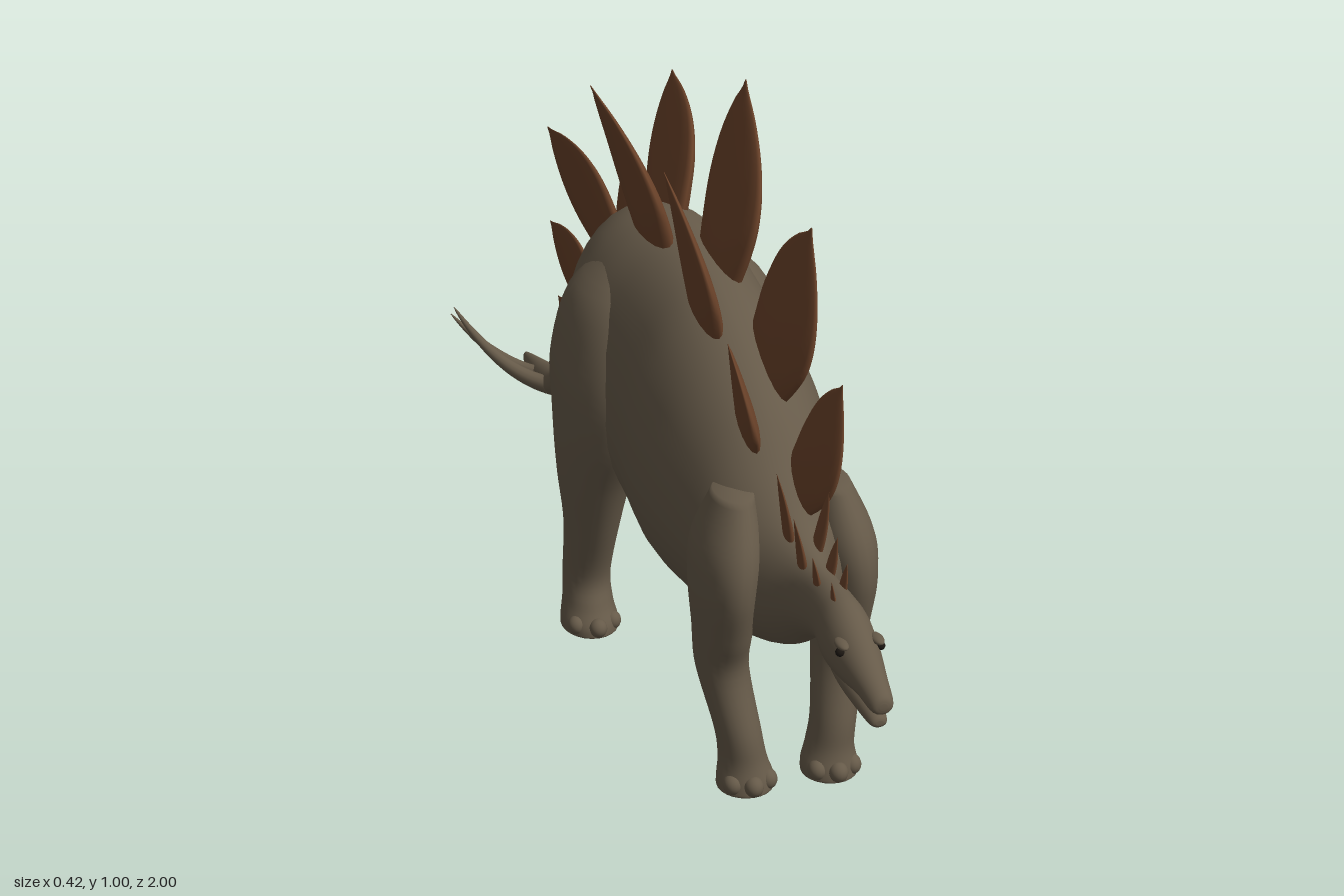
import * as THREE from 'three';

const skin = new THREE.MeshStandardMaterial({ color: 0x665a49 });
skin.name = 'grey brown skin';
const plateBrown = new THREE.MeshStandardMaterial({ color: 0x6a4229 });
plateBrown.name = 'rust brown plate';
const eyeDark = new THREE.MeshStandardMaterial({ color: 0x1c1712 });
eyeDark.name = 'dark eye';

const V = (x, y, z) => new THREE.Vector3(x, y, z);

// Skin a list of equal-length rings into a closed surface
function loft(rings) {
  const n = rings[0].length, m = rings.length, pos = [], idx = [];
  rings.forEach(r => r.forEach(p => pos.push(p.x, p.y, p.z)));
  for (let i = 0; i < m - 1; i++) for (let j = 0; j < n; j++) {
    const a = i * n + j, b = i * n + (j + 1) % n;
    idx.push(a, b, a + n, b, b + n, a + n);
  }
  [rings[0], rings[m - 1]].forEach((r, e) => {
    const c = r.reduce((s, p) => s.add(p), V(0, 0, 0)).divideScalar(n);
    pos.push(c.x, c.y, c.z);
    const k = m * n + e, o = e * (m - 1) * n;
    for (let j = 0; j < n; j++) {
      const a = o + j, b = o + (j + 1) % n;
      e ? idx.push(k, a, b) : idx.push(k, b, a);
    }
  });
  const g = new THREE.BufferGeometry();
  g.setAttribute('position', new THREE.Float32BufferAttribute(pos, 3));
  g.setIndex(idx);
  g.computeVertexNormals();
  return g;
}

// Ring of n points: f(cos, sin) gives each one
const ring = (n, f) => Array.from({ length: n }, (_, j) =>
  f(Math.cos(j / n * Math.PI * 2), Math.sin(j / n * Math.PI * 2)));

// Smooth resampling of a table of section rows
function resample(rows, count) {
  const cols = rows[0].map((_, c) => new THREE.SplineCurve(rows.map(r => new THREE.Vector2(r[c], 0))));
  return Array.from({ length: count }, (_, i) => cols.map(s => s.getPoint(i / (count - 1)).x));
}

// Egg-shaped sections along z, rows: z, bottom, top, half width
const spineLoft = (rows, count) => loft(resample(rows, count).map(([z, b, t, w]) => {
  const c = b + (t - b) * 0.42;
  return ring(32, (x, y) => V(-x * w, c + y * (y > 0 ? t - c : c - b), z));
}));

// Oval sections going down, rows: y, x, z, x radius, z radius
const legLoft = (rows, side) => loft(resample(rows, 50).map(([y, x, z, rx, rz]) =>
  ring(24, (c, s) => V(side * x + c * rx, y, z + s * rz))));

// Lens-shaped plate. Base runs front to back in (z, y), tip is (x, y, z)
function plate(z0, y0, z1, y1, tipX, tipY, tipZ, baseX, thick) {
  const chord = V(0, y1 - y0, z1 - z0).multiplyScalar(0.5);
  const up = V(0, -chord.z, chord.y).normalize();
  const base = V(baseX, (y0 + y1) / 2, (z0 + z1) / 2).addScaledVector(up, -0.03);
  const tip = V(tipX, tipY, tipZ);
  const mid = base.clone().addScaledVector(up, base.distanceTo(tip) * 0.55);
  mid.x = baseX + (tipX - baseX) * 0.5;
  const curve = new THREE.QuadraticBezierCurve3(base, mid, tip);
  const rows = resample([[0.78, 1], [0.93, 1], [1.05, 0.85], [1.02, 0.65], [0.83, 0.45], [0.48, 0.25], [0.02, 0.04]], 22);
  return loft(rows.map(([w, th], i) => {
    const c = curve.getPoint(i / 21);
    return ring(16, (u, v) => c.clone().addScaledVector(chord, u * w).add(V(-v * thick * th, 0, 0)));
  }));
}

// Tapered curved horn
function horn(a, b, c, r) {
  const curve = new THREE.QuadraticBezierCurve3(a, b, c), n = 20;
  const f = curve.computeFrenetFrames(n, false);
  return loft(f.tangents.map((_, i) => {
    const p = curve.getPointAt(i / n), k = r * Math.pow(1 - i / n, 0.7) + 0.0008;
    return ring(12, (u, v) => p.clone().addScaledVector(f.normals[i], u * k).addScaledVector(f.binormals[i], v * k));
  }));
}

export function createModel() {
  const model = new THREE.Group();
  const add = (name, geo, mat, parent = model) => {
    const m = new THREE.Mesh(geo, mat);
    m.name = name;
    parent.add(m);
    return m;
  };

  // Head, neck, torso and tail in one skin
  add('body', spineLoft([
    [1.0, 0.335, 0.345, 0.006], [0.992, 0.325, 0.358, 0.018], [0.95, 0.33, 0.38, 0.026],
    [0.9, 0.325, 0.408, 0.036], [0.85, 0.325, 0.432, 0.041], [0.8, 0.34, 0.437, 0.037],
    [0.72, 0.31, 0.437, 0.042], [0.65, 0.26, 0.465, 0.075], [0.58, 0.235, 0.525, 0.115],
    [0.5, 0.222, 0.6, 0.135], [0.4, 0.21, 0.665, 0.155], [0.3, 0.202, 0.71, 0.165],
    [0.2, 0.22, 0.735, 0.162], [0.1, 0.25, 0.747, 0.168], [0, 0.28, 0.75, 0.178],
    [-0.1, 0.315, 0.74, 0.165], [-0.2, 0.33, 0.695, 0.128], [-0.3, 0.308, 0.6, 0.092],
    [-0.4, 0.26, 0.49, 0.069], [-0.5, 0.21, 0.385, 0.053], [-0.6, 0.158, 0.275, 0.042],
    [-0.7, 0.118, 0.185, 0.034], [-0.8, 0.09, 0.15, 0.03], [-0.9, 0.075, 0.125, 0.02],
    [-0.98, 0.083, 0.105, 0.008], [-0.99, 0.092, 0.098, 0.002],
  ], 150), skin);
  add('lowerJaw', spineLoft([
    [0.988, 0.303, 0.311, 0.006], [0.98, 0.298, 0.319, 0.014], [0.94, 0.302, 0.335, 0.021],
    [0.89, 0.314, 0.36, 0.03], [0.84, 0.332, 0.37, 0.03],
  ], 24), skin);

  // Legs, toes and eyes, mirrored
  const hind = [
    [0.69, 0.075, 0, 0.03, 0.05], [0.62, 0.1, 0, 0.075, 0.12], [0.5, 0.12, 0.008, 0.087, 0.162],
    [0.4, 0.13, 0.02, 0.08, 0.148], [0.3, 0.145, 0.018, 0.062, 0.108], [0.2, 0.15, 0.014, 0.047, 0.074],
    [0.1, 0.155, -0.002, 0.042, 0.054], [0.05, 0.157, 0.008, 0.044, 0.056],
    [0.02, 0.158, 0.02, 0.05, 0.062], [0.004, 0.158, 0.022, 0.051, 0.064], [0, 0.158, 0.022, 0.05, 0.063],
  ];
  const fore = [
    [0.5, 0.08, 0.565, 0.03, 0.05], [0.42, 0.093, 0.572, 0.052, 0.088], [0.35, 0.1, 0.577, 0.05, 0.092],
    [0.27, 0.1, 0.575, 0.045, 0.072], [0.2, 0.098, 0.572, 0.042, 0.053], [0.1, 0.082, 0.603, 0.037, 0.044],
    [0.05, 0.075, 0.608, 0.039, 0.044], [0.02, 0.072, 0.613, 0.046, 0.047],
    [0.004, 0.072, 0.615, 0.047, 0.048], [0, 0.072, 0.615, 0.046, 0.047],
  ];
  for (const [side, label] of [[1, 'left'], [-1, 'right']]) {
    add(label + 'HindLeg', legLoft(hind, side), skin);
    add(label + 'ForeLeg', legLoft(fore, side), skin);
    for (const [x, z, rx, rz] of [[0.158, 0.022, 0.04, 0.056], [0.072, 0.615, 0.036, 0.041]])
      for (const a of [-0.95, 0, 0.95]) {
        const toe = add(label + 'Toe', new THREE.SphereGeometry(0.018, 16, 12), skin);
        toe.scale.set(0.9, 0.95, 1);
        toe.position.set(side * x + Math.sin(a) * rx, 0.0171, z + Math.cos(a) * rz);
      }
    const eye = add(label + 'Eye', new THREE.SphereGeometry(0.007, 14, 10), eyeDark);
    eye.position.set(side * 0.032, 0.386, 0.905);
    const brow = add(label + 'Brow', new THREE.SphereGeometry(0.012, 14, 10), skin);
    brow.scale.set(0.8, 0.5, 1.6);
    brow.position.set(side * 0.028, 0.396, 0.9);

    // Tail spikes
    add(label + 'TailSpike', horn(V(side * 0.01, 0.13, -0.73), V(side * 0.1, 0.13, -0.82),
      V(side * 0.177, 0.265, side > 0 ? -0.92 : -0.885), 0.018), skin);
    add(label + 'TailSpike', horn(V(side * 0.005, 0.11, -0.84), V(side * 0.075, 0.11, -0.91),
      V(side * 0.162, 0.212, side > 0 ? -1.0 : -0.98), 0.016), skin);
  }

  // Back plates in two alternating rows: base front z y, base back z y, tip x y z, base x
  const backPlates = new THREE.Group();
  backPlates.name = 'backPlates';
  model.add(backPlates);
  [
    [0.655, 0.48, 0.55, 0.56, 0.07, 0.685, 0.635, 0.022],
    [0.56, 0.55, 0.46, 0.62, -0.078, 0.73, 0.53, -0.03],
    [0.505, 0.6, 0.33, 0.69, 0.088, 0.87, 0.445, 0.03],
    [0.385, 0.67, 0.22, 0.72, -0.09, 0.917, 0.25, -0.032],
    [0.275, 0.72, 0.06, 0.74, 0.11, 1.0, 0.072, 0.03],
    [0.135, 0.74, -0.08, 0.74, -0.11, 0.962, -0.095, -0.032],
    [-0.02, 0.745, -0.25, 0.66, 0.115, 0.9, -0.338, 0.03],
    [-0.19, 0.69, -0.33, 0.58, -0.1, 0.79, -0.412, -0.028],
    [-0.29, 0.61, -0.4, 0.49, 0.072, 0.655, -0.515, 0.024],
    [-0.38, 0.51, -0.475, 0.41, -0.06, 0.555, -0.552, -0.022],
    [-0.45, 0.435, -0.525, 0.355, 0.045, 0.465, -0.556, 0.018],
    [-0.515, 0.365, -0.57, 0.305, -0.035, 0.382, -0.595, -0.016],
    [-0.575, 0.3, -0.625, 0.25, 0.025, 0.3, -0.645, 0.012],
  ].forEach(([z0, y0, z1, y1, x, y, z, bx]) =>
    add('backPlate', plate(z0, y0, z1, y1, x, y, z, bx, 0.008 + 0.075 * Math.abs(z0 - z1)), plateBrown, backPlates));

  // Small neck spines
  [[0.83, 0.432, 0.458], [0.8, 0.436, 0.468], [0.77, 0.437, 0.472], [0.74, 0.437, 0.482], [0.71, 0.44, 0.508],
    [0.68, 0.45, 0.53], [0.655, 0.462, 0.56]].forEach(([z, y, tip], i) => {
    const s = i % 2 ? 1 : -1, w = 0.009 + i * 0.0014;
    add('neckSpine', plate(z + w, y - 0.003, z - w, y + 0.003, s * (0.016 + i * 0.004), tip, z - 0.004,
      s * (0.01 + i * 0.001), 0.005 + i * 0.0005), plateBrown, backPlates);
  });
  return model;
}
